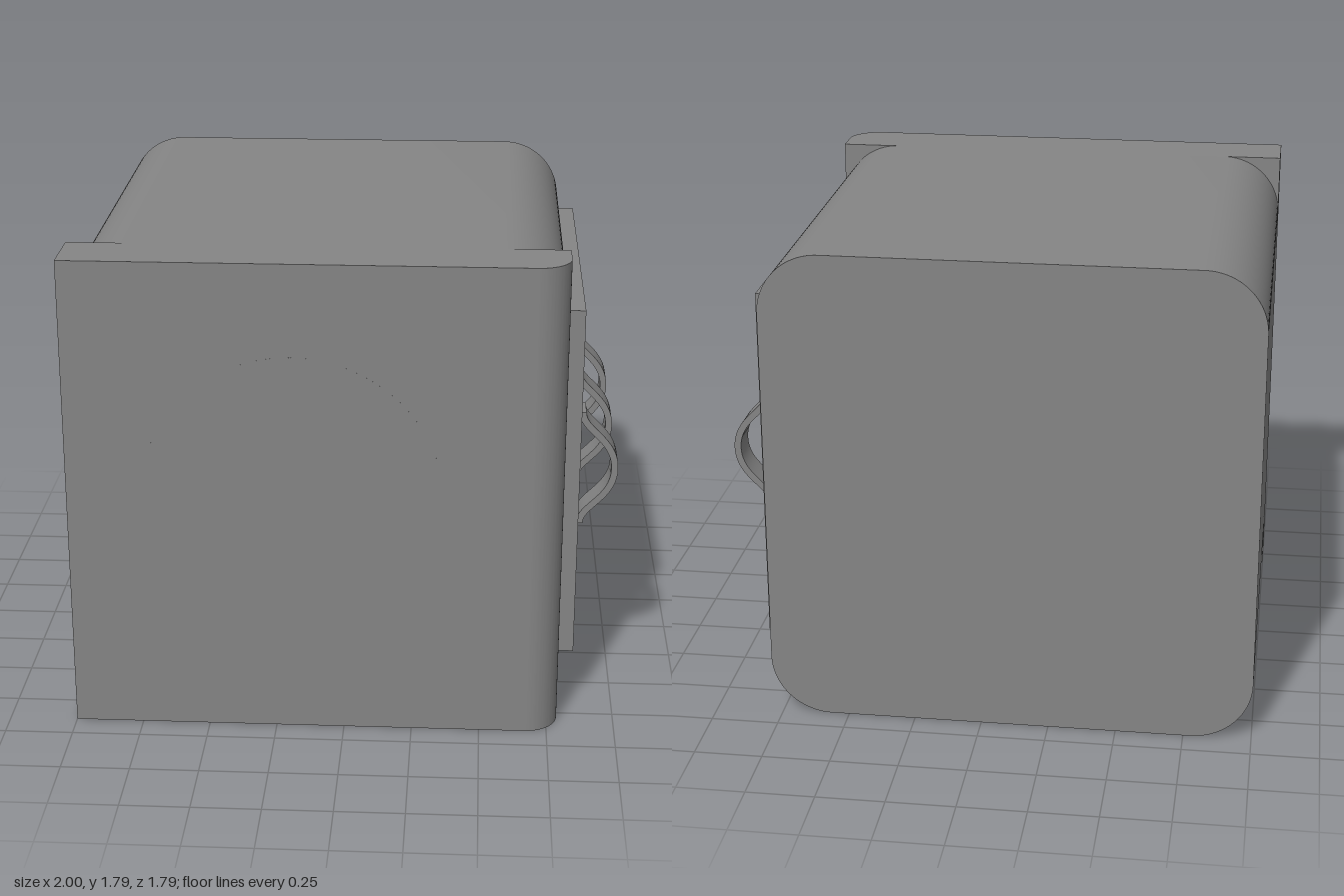
import * as THREE from 'three';
import { toCreasedNormals } from 'three/addons/utils/BufferGeometryUtils.js';

const LEFT = -1, RIGHT = 0.79, HEIGHT = 1.79, MIDDLE = HEIGHT / 2;
const BACK = -0.895, SEAM = 0.67, FRONT = 0.895;

const material = new THREE.MeshStandardMaterial({ color: 0x858585 });

function addMesh(parent, name, geometry) {
  const mesh = new THREE.Mesh(geometry, material);
  mesh.name = name;
  parent.add(mesh);
  return mesh;
}

// Straight extrusion with smooth curves and sharp edges
function extrude(shape, depth) {
  const geometry = new THREE.ExtrudeGeometry(shape, { depth, bevelEnabled: false, curveSegments: 16 });
  return toCreasedNormals(geometry, 0.5);
}

// Rectangle with four rounded corners
function roundedRect(x0, y0, x1, y1, r) {
  const s = new THREE.Shape();
  s.absarc(x1 - r, y0 + r, r, -Math.PI / 2, 0);
  s.absarc(x1 - r, y1 - r, r, 0, Math.PI / 2);
  s.absarc(x0 + r, y1 - r, r, Math.PI / 2, Math.PI);
  s.absarc(x0 + r, y0 + r, r, Math.PI, Math.PI * 1.5);
  s.closePath();
  return s;
}

// Side profile of a bowed strap: a constant-thickness ribbon, mirrored about y = 0
function strapShape(thickness) {
  const half = new THREE.CubicBezierCurve(
    new THREE.Vector2(0.0125, 0.222), new THREE.Vector2(0.0125, 0.15),
    new THREE.Vector2(0.1375, 0.12), new THREE.Vector2(0.1375, 0));
  const outer = [], inner = [];
  const n = 20;
  for (let i = 0; i <= n; i++) {
    const p = half.getPoint(i / n), t = half.getTangent(i / n);
    const normal = new THREE.Vector2(-t.y, t.x).multiplyScalar(thickness / 2);
    outer.push(p.clone().add(normal));
    inner.push(p.clone().sub(normal));
  }
  const mirrored = (pts) => pts.slice(0, -1).reverse().map((p) => new THREE.Vector2(p.x, -p.y));
  const outerSide = [...outer, ...mirrored(outer)];
  const innerSide = [...inner, ...mirrored(inner)];
  return new THREE.Shape([...outerSide, ...innerSide.reverse()]);
}

export function createModel() {
  const model = new THREE.Group();
  model.name = 'housing';

  // Main body, rounded along its depth
  const body = addMesh(model, 'body',
    extrude(roundedRect(LEFT, 0, RIGHT, HEIGHT, 0.224), SEAM - BACK));
  body.position.z = BACK;

  // Square front plate with one rounded upright edge, drawn in plan (shape y = -z)
  const r = 0.12;
  const plan = new THREE.Shape();
  plan.moveTo(LEFT, -SEAM);
  plan.lineTo(LEFT, -FRONT);
  plan.absarc(RIGHT - r, -FRONT + r, r, -Math.PI / 2, 0);
  plan.lineTo(RIGHT, -SEAM);
  plan.closePath();
  const plate = addMesh(model, 'frontPlate', extrude(plan, HEIGHT));
  plate.rotation.x = -Math.PI / 2;

  // Near-flush round inlay in the front plate
  const inlay = addMesh(model, 'frontInlay', new THREE.CylinderGeometry(0.545, 0.545, 0.1, 64));
  inlay.rotation.x = Math.PI / 2;
  inlay.position.set(-0.185, 0.905, FRONT - 0.0498);

  // Raised side panel
  const panelDepth = 0.06;
  const panel = addMesh(model, 'sidePanel', new THREE.BoxGeometry(panelDepth, 1.345, 1.345));
  panel.position.set(RIGHT + panelDepth / 2, MIDDLE, 0);

  // Three bowed straps on the panel
  const width = 0.11;
  const strapGeometry = extrude(strapShape(0.025), width);
  const straps = new THREE.Group();
  straps.name = 'straps';
  for (const z of [-0.447, 0, 0.447]) {
    const strap = addMesh(straps, 'strap', strapGeometry);
    strap.position.set(RIGHT + panelDepth, MIDDLE, z - width / 2);
  }
  model.add(straps);

  return model;
}
